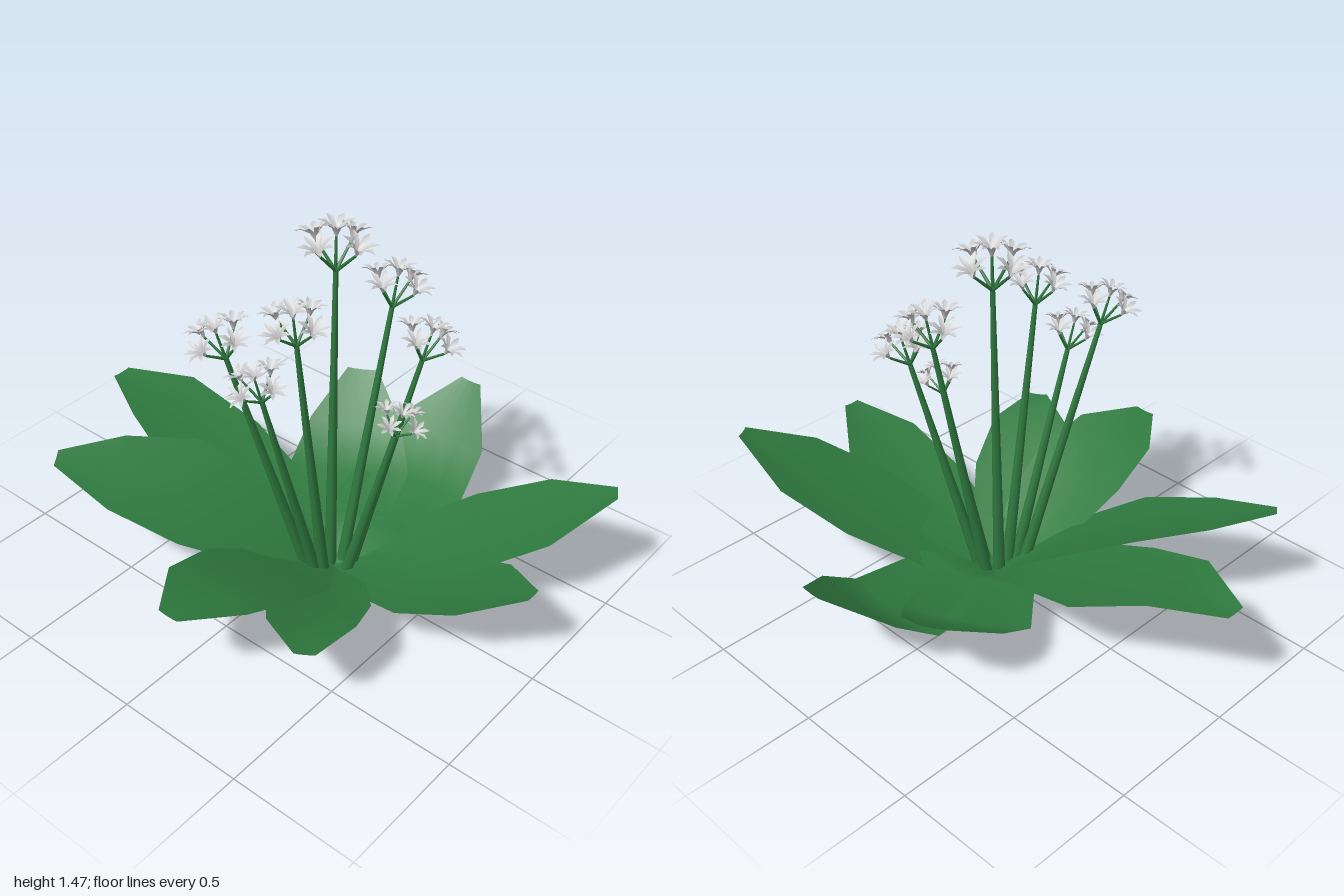
import * as THREE from 'three';
import { mergeGeometries } from 'three/addons/utils/BufferGeometryUtils.js';

const V = (x, y, z) => new THREE.Vector3(x, y, z);
const UP = V(0, 1, 0);
const CROWN = V(-0.02, 0.01, 0.1);

const green = new THREE.MeshStandardMaterial({ color: 0x2f7a3f, side: THREE.DoubleSide });
const grey = new THREE.MeshStandardMaterial({ color: 0xcccccc, side: THREE.DoubleSide });

// Open surface through rows of points, all rows the same length
function loft(rows) {
  const n = rows[0].length, index = [];
  for (let i = 0; i < rows.length - 1; i++) {
    for (let j = 0; j < n - 1; j++) {
      const a = i * n + j, b = a + n;
      index.push(a, a + 1, b, a + 1, b + 1, b);
    }
  }
  const geo = new THREE.BufferGeometry().setFromPoints(rows.flat());
  geo.setIndex(index);
  geo.computeVertexNormals();
  return geo;
}

function mesh(name, geo, mat) {
  const m = new THREE.Mesh(geo, mat);
  m.name = name;
  return m;
}

// Straight tapered rod between two points
function rod(name, a, b, r0, r1, sides) {
  const dir = b.clone().sub(a), len = dir.length();
  const m = mesh(name, new THREE.CylinderGeometry(r1, r0, len, sides), green);
  m.position.copy(a).lerp(b, 0.5);
  m.quaternion.setFromUnitVectors(UP, dir.normalize());
  return m;
}

// Broad blunt leaf on a narrow foot: heights along its length, half width,
// place of the widest point, shoulder and tip width ratios, sideways roll.
// The foot starts a little behind the crown, so the feet cross.
function leaf({ tip, heights, half, mid = 0.52, shoulder = 0.85, blunt = 0.2, roll = 0 }) {
  const dx = tip[0] - CROWN.x, dz = tip[1] - CROWN.z, len = Math.hypot(dx, dz);
  const side = V(-dz / len, 0, dx / len);
  const stations = [-0.06 / len, 0.11, 0.25, mid, 0.78, 1];
  const widths = [0.2, 0.42, 0.8, 1, shoulder, blunt];
  const ys = [CROWN.y, heights[0] * 0.55, ...heights];
  const rows = stations.map((t, i) => {
    const w = widths[i] * half;
    const slant = i ? roll : 0;
    return [-1, -0.5, 0, 0.5, 1].map((s) =>
      V(CROWN.x + dx * t, ys[i] + slant * s * w + 0.018 * (s * s - 0.5) * widths[i], CROWN.z + dz * t)
        .addScaledVector(side, s * w));
  });
  return mesh('leaf', loft(rows), green);
}

// Seven flaring petals merged into one small blossom
function blossomGeometry() {
  const profile = [[0.003, 0, 0.003], [0.016, 0.034, 0.008], [0.041, 0.054, 0.011], [0.065, 0.056, 0.002]];
  const petal = loft(profile.map(([r, y, w]) => [V(r, y, w), V(r, y - w * 0.35, 0), V(r, y, -w)]));
  const petals = [];
  for (let i = 0; i < 7; i++) petals.push(petal.clone().rotateY((i * Math.PI * 2) / 7));
  return mergeGeometries(petals);
}

// Umbel: one upright blossom with four around it, each on a thin pedicel
function flowerHead(blossom) {
  const head = new THREE.Group();
  head.name = 'flowerHead';
  const add = (end, tilt, turn) => {
    head.add(rod('pedicel', V(0, 0, 0), end, 0.007, 0.005, 5));
    const b = mesh('blossom', blossom, grey);
    b.position.copy(end);
    b.rotation.set(0, turn, -tilt, 'YXZ');
    head.add(b);
  };
  add(V(0, 0.13, 0), 0, 0.3);
  for (let i = 0; i < 4; i++) {
    const a = (i * Math.PI) / 2;
    add(V(0.085 * Math.cos(a), 0.085, -0.085 * Math.sin(a)), 0.35, a);
  }
  return head;
}

export function createModel() {
  const model = new THREE.Group();
  model.name = 'floweringPlant';

  // Rosette of leaves
  const leaves = [
    { tip: [-0.03, -1.0], heights: [0.2, 0.3, 0.435, 0.45], half: 0.235, shoulder: 0.72, blunt: 0.17 },
    { tip: [-0.59, -0.76], heights: [0.21, 0.34, 0.405, 0.455], half: 0.235, shoulder: 0.71, blunt: 0.15, roll: 0.27 },
    { tip: [0.68, -0.31], heights: [0.135, 0.145, 0.26, 0.4], half: 0.24, mid: 0.56, shoulder: 0.77, blunt: 0.26 },
    { tip: [0.87, 0.1], heights: [0.135, 0.14, 0.265, 0.42], half: 0.23, mid: 0.59, shoulder: 0.88 },
    { tip: [0.51, 0.975], heights: [0.13, 0.26, 0.39, 0.51], half: 0.225, blunt: 0.15 },
    { tip: [-0.03, 0.98], heights: [0.13, 0.2, 0.31, 0.405], half: 0.2, blunt: 0.16 },
    { tip: [-0.69, 0.54], heights: [0.13, 0.22, 0.32, 0.355], half: 0.185, shoulder: 0.82 },
    { tip: [-0.87, 0.1], heights: [0.15, 0.28, 0.36, 0.385], half: 0.215 },
  ];
  leaves.forEach((spec) => model.add(leaf(spec)));

  // Flower stalks: top of stem and head scale
  const blossom = blossomGeometry();
  const stalks = [
    [0.04, 1.28, 0.06, 1],
    [-0.21, 1.12, 0.1, 0.87],
    [-0.35, 1.06, -0.09, 0.85],
    [-0.315, 0.92, 0.035, 0.8],
    [0.23, 1.09, 0.16, 0.9],
    [0.2, 0.95, 0.32, 0.85],
    [0.02, 0.74, 0.35, 0.68],
  ];
  stalks.forEach(([x, y, z, scale]) => {
    const top = V(x, y, z);
    const base = V(CROWN.x + x * 0.2, CROWN.y, CROWN.z + (z - CROWN.z) * 0.25);
    const stalk = new THREE.Group();
    stalk.name = 'flowerStalk';
    stalk.add(rod('stem', base, top, 0.024, 0.009, 7));
    const head = flowerHead(blossom);
    head.position.copy(top);
    head.scale.setScalar(scale);
    head.quaternion.setFromUnitVectors(UP, top.clone().sub(base).normalize());
    stalk.add(head);
    model.add(stalk);
  });

  return model;
}
